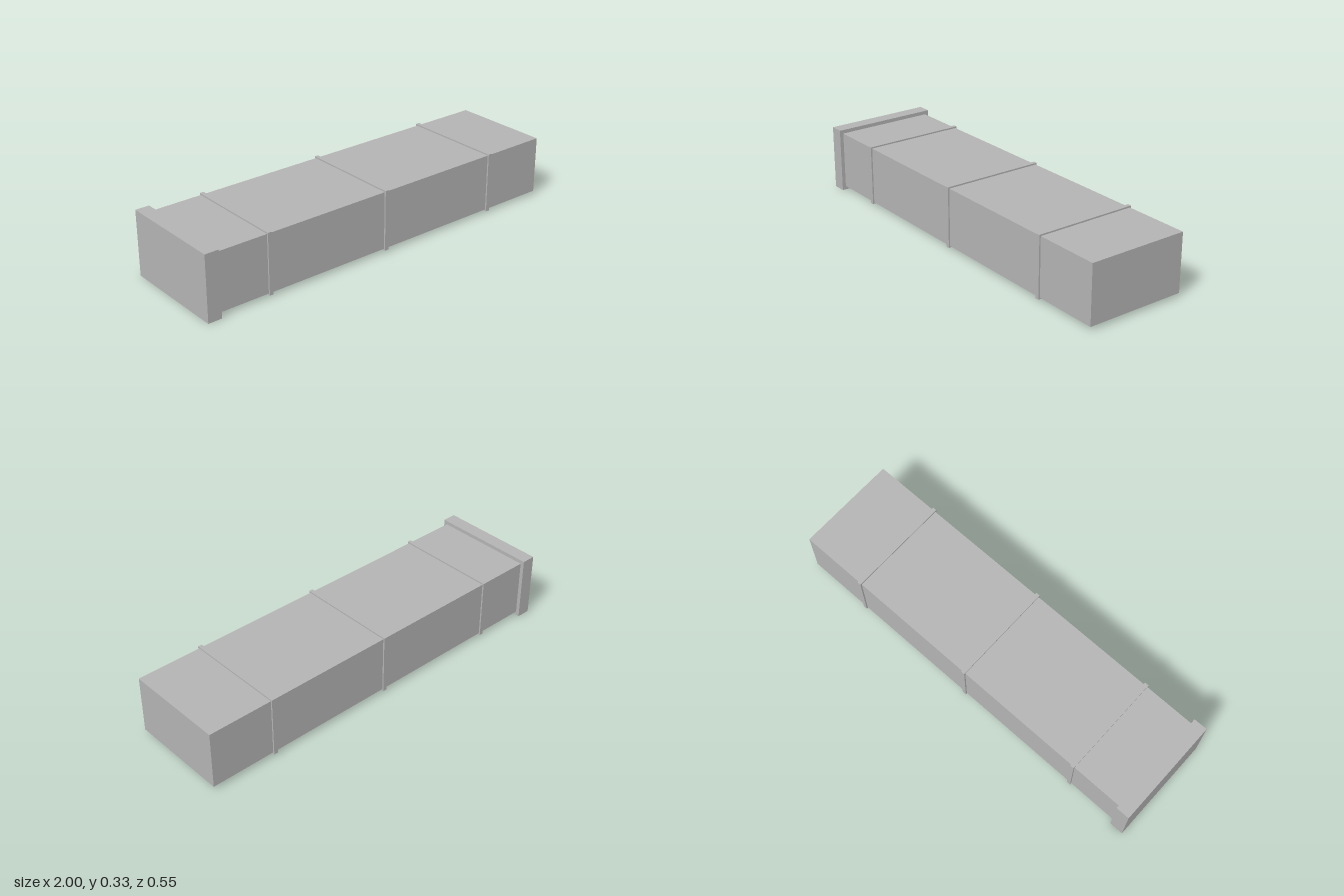
import * as THREE from 'three';

export function createModel() {
  const group = new THREE.Group();
  const metal = new THREE.MeshStandardMaterial({ color: 0xb4b4b4 });
  metal.name = 'grey metal';

  const centreY = 0.164;
  const addBox = (name, x0, x1, height, depth) => {
    const mesh = new THREE.Mesh(new THREE.BoxGeometry(x1 - x0, height, depth), metal);
    mesh.name = name;
    mesh.position.set((x0 + x1) / 2, centreY, 0);
    group.add(mesh);
  };

  // Long rectangular duct
  addBox('ductBody', -0.93, 1, 0.29, 0.508);

  // Wider end flange
  addBox('endFlange', -1, -0.93, 0.328, 0.546);

  // Thin stiffening bands around the duct
  [-0.662, 0, 0.662].forEach((x, i) => {
    addBox(`band${i + 1}`, x - 0.01, x + 0.01, 0.305, 0.523);
  });

  return group;
}
